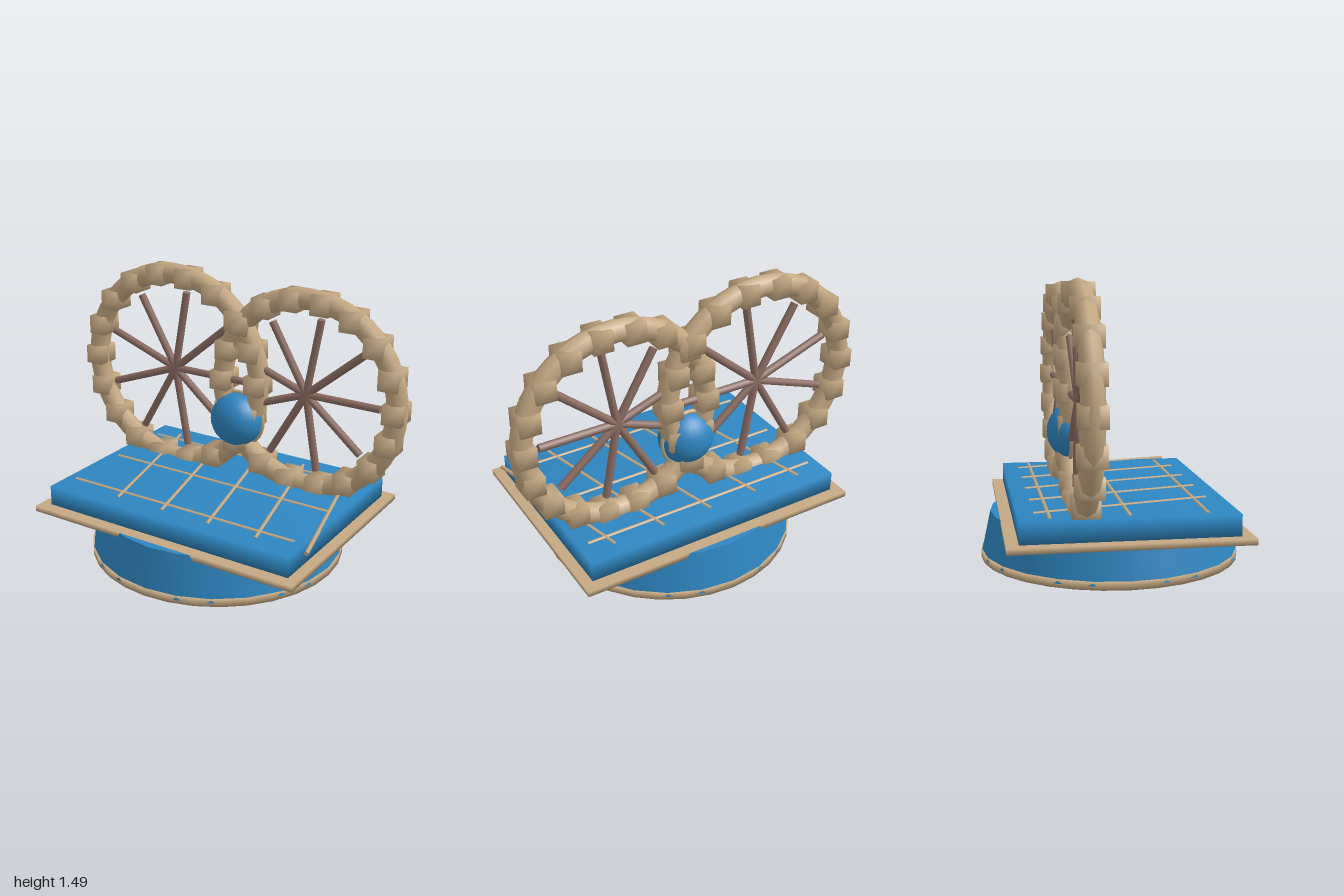
import * as THREE from 'three';
import { mergeVertices } from 'three/addons/utils/BufferGeometryUtils.js';

const blue = new THREE.MeshStandardMaterial({ name: 'blue', color: 0x2e86c1 });
const tan = new THREE.MeshStandardMaterial({ name: 'tan', color: 0xc4a882 });
const mauve = new THREE.MeshStandardMaterial({ name: 'mauve', color: 0x8d6e63 });

// Share corner vertices so the shading rolls softly over the edges
function soften(geometry) {
  geometry.deleteAttribute('normal');
  geometry.deleteAttribute('uv');
  const merged = mergeVertices(geometry);
  merged.computeVertexNormals();
  return merged;
}

function add(parent, name, geometry, material, x = 0, y = 0, z = 0) {
  const mesh = new THREE.Mesh(geometry, material);
  mesh.name = name;
  mesh.position.set(x, y, z);
  parent.add(mesh);
  return mesh;
}

// Round bar between two points
function addRod(parent, name, from, to, radius, material) {
  const a = new THREE.Vector3(...from);
  const dir = new THREE.Vector3(...to).sub(a);
  const rod = add(parent, name, new THREE.CylinderGeometry(radius, radius, dir.length(), 8), material);
  rod.position.copy(a).addScaledVector(dir, 0.5);
  rod.quaternion.setFromUnitVectors(new THREE.Vector3(0, 1, 0), dir.normalize());
}

// Ring with upright blocks around it and spokes from the centre
function addWheel(parent, name, x, outer) {
  const wheel = new THREE.Group();
  wheel.name = name;
  wheel.position.set(x, 0.885, -0.217);
  parent.add(wheel);
  const tube = 0.058, ring = outer - tube;
  add(wheel, 'rim', new THREE.TorusGeometry(ring, tube, 8, 48), tan);
  const block = soften(new THREE.BoxGeometry(0.104, 0.104, 0.135));
  for (let i = 0; i < 18; i++) {
    const a = (i / 18) * Math.PI * 2;
    add(wheel, 'rimBlock', block, tan, Math.cos(a) * ring * 0.99, Math.sin(a) * ring * 0.99);
  }
  const reach = outer - 0.148;
  for (let i = 0; i < 9; i++) {
    const a = (i / 9) * Math.PI * 2;
    addRod(wheel, 'spoke', [0, 0, 0], [Math.cos(a) * reach, Math.sin(a) * reach, 0], 0.021, mauve);
  }
}

export function createModel() {
  const model = new THREE.Group();
  model.name = 'twinWheels';
  const cx = 0.02;

  // Round foot
  add(model, 'footRim', soften(new THREE.CylinderGeometry(0.69, 0.69, 0.042, 32)), tan, cx, 0.021);
  add(model, 'foot', new THREE.CylinderGeometry(0.64, 0.69, 0.232, 24), blue, cx, 0.136);

  // Stepped platform
  add(model, 'platformTrim', soften(new THREE.BoxGeometry(1.58, 0.03, 1.194)), tan, cx, 0.24);
  add(model, 'platform', soften(new THREE.BoxGeometry(1.466, 0.11, 1.07)), blue, cx + 0.002, 0.309);

  // Lattice of rods on the platform
  for (const z of [-0.385, 0, 0.38]) {
    addRod(model, 'latticeRod', [-0.66, 0.36, z], [0.7, 0.36, z], 0.011, tan);
  }
  for (let i = 0; i < 5; i++) {
    const x = -0.54 + i * 0.281;
    addRod(model, 'slantedRod', [x, 0.36, -0.455], [x + 0.22, 0.36, 0.45], 0.011, tan);
  }

  // Overlapping wheels
  addWheel(model, 'rightWheel', -0.4, 0.6);
  addWheel(model, 'leftWheel', 0.43, 0.57);

  // Ball and its ring where the wheels cross
  const ball = add(model, 'ball', new THREE.SphereGeometry(1, 24, 16), blue, cx, 0.67, -0.2);
  ball.scale.set(0.152, 0.148, 0.135);
  add(model, 'ballRing', new THREE.TorusGeometry(0.151, 0.012, 8, 32), tan, cx, 0.67, -0.217);

  return model;
}
